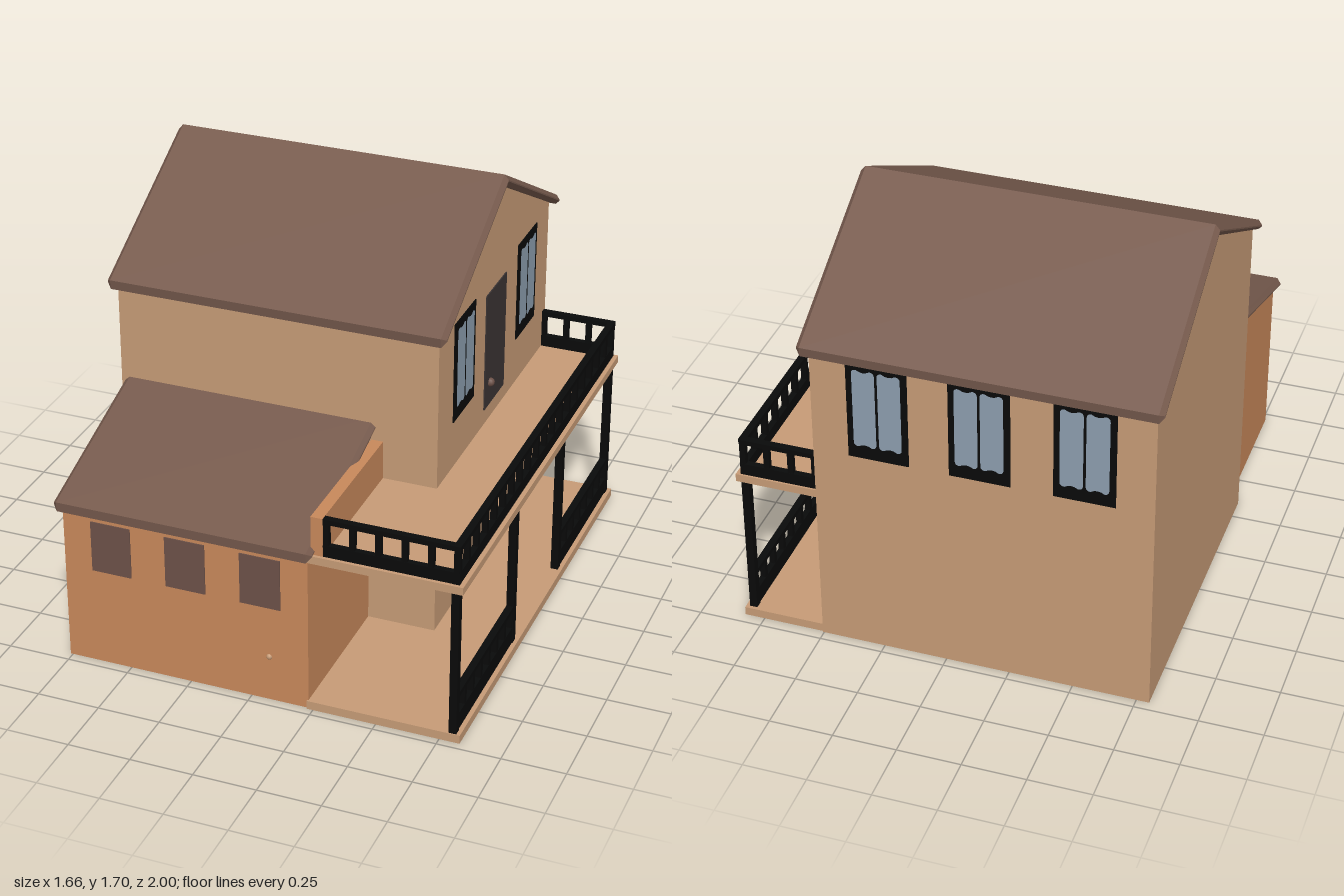
import * as THREE from 'three';

const mat = (name, color) => {
  const m = new THREE.MeshStandardMaterial({ color });
  m.name = name;
  return m;
};

export function createModel() {
  const wall = mat('beigeWall', 0xc69b76);
  const orange = mat('orangeWall', 0xc8885b);
  const roofBrown = mat('roofBrown', 0x765a4d);
  const black = mat('blackTrim', 0x090a0a);
  const glass = mat('windowGlass', 0x8c9dae);
  const doorDark = mat('doorDark', 0x3a3333);
  const panelBrown = mat('panelBrown', 0x6c5148);

  const model = new THREE.Group();
  model.name = 'house';

  const add = (name, geo, material, parent = model) => {
    const mesh = new THREE.Mesh(geo, material);
    mesh.name = name;
    parent.add(mesh);
    return mesh;
  };

  // Box given by its minimum and maximum corners
  const box = (name, [x0, y0, z0], [x1, y1, z1], material, parent) => {
    const geo = new THREE.BoxGeometry(x1 - x0, y1 - y0, z1 - z0);
    geo.translate((x0 + x1) / 2, (y0 + y1) / 2, (z0 + z1) / 2);
    return add(name, geo, material, parent);
  };

  // Side profile of [z, y] points, extruded from x0 to x1
  const sideExtrude = (name, points, x0, x1, material, bevel = 0) => {
    const shape = new THREE.Shape(points.map(([z, y]) => new THREE.Vector2(z, y)));
    const geo = new THREE.ExtrudeGeometry(shape, {
      depth: x1 - x0 - 2 * bevel,
      bevelEnabled: bevel > 0,
      bevelSize: bevel,
      bevelThickness: bevel,
      bevelSegments: 1,
    });
    geo.rotateY(-Math.PI / 2);
    geo.translate(x1 - bevel, 0, 0);
    return add(name, geo, material);
  };

  // Main two-storey block and its gable roof
  const ridgeZ = -0.305;
  sideExtrude('mainWalls', [
    [-0.96, 0], [0.345, 0], [0.345, 1.325], [ridgeZ, 1.665], [-0.96, 1.325],
  ], -0.8, 0.505, wall);
  const t = 0.003;
  const eave = 0.675;
  sideExtrude('mainRoof', [
    [ridgeZ - eave, 1.315 - t], [ridgeZ, 1.677 - t], [ridgeZ + eave, 1.315 - t],
    [ridgeZ + eave, 1.315 + t], [ridgeZ, 1.677 + t], [ridgeZ - eave, 1.315 + t],
  ], -0.83, 0.543, roofBrown, 0.018);

  // Front annex with a lean-to roof and a low parapet
  sideExtrude('annexWalls', [
    [0.3, 0], [0.96, 0], [0.96, 0.683], [0.34, 0.882], [0.3, 0.882],
  ], -0.76, 0.23, orange);
  sideExtrude('annexRoof', [
    [0.33, 0.888 - t], [0.98, 0.678 - t], [0.98, 0.678 + t], [0.33, 0.888 + t],
  ], -0.785, 0.255, roofBrown, 0.018);
  box('parapet', [0.24, 0.66, 0.34], [0.287, 0.83, 0.955], orange);

  // Porch floor and balcony deck
  box('porchFloor', [0.225, 0, -0.955], [0.83, 0.035, 0.968], wall);
  box('balconyDeck', [0.225, 0.64, -0.955], [0.83, 0.672, 0.968], wall);

  // Porch posts
  for (const z of [0.948, 0.3, -0.272, -0.925]) {
    box('porchPost', [0.785, 0.035, z - 0.016], [0.815, 0.64, z + 0.016], black);
  }

  // Railing of given length along local x, standing on y = 0
  const railing = (name, length, height, baseHeight, spans) => {
    const g = new THREE.Group();
    g.name = name;
    const h = length / 2;
    box('bottomRail', [-h, 0, -0.012], [h, baseHeight, 0.012], black, g);
    box('topRail', [-h, height - 0.02, -0.014], [h, height, 0.014], black, g);
    for (let i = 0; i <= spans; i++) {
      const x = -h + 0.011 + (i * (length - 0.022)) / spans;
      box('baluster', [x - 0.011, 0, -0.011], [x + 0.011, height - 0.01, 0.011], black, g);
    }
    model.add(g);
    return g;
  };
  const railX = 0.8;
  const sideRailing = (name, z0, z1, y, height, baseHeight, spans) => {
    const g = railing(name, z1 - z0, height, baseHeight, spans);
    g.rotation.y = Math.PI / 2;
    g.position.set(railX, y, (z0 + z1) / 2);
  };
  sideRailing('balconySideRailing', -0.945, 0.955, 0.67, 0.16, 0.05, 19);
  sideRailing('porchFrontRailing', 0.3, 0.955, 0.035, 0.165, 0.07, 7);
  sideRailing('porchBackRailing', -0.93, -0.272, 0.035, 0.165, 0.07, 7);
  railing('balconyFrontRailing', 0.525, 0.16, 0.05, 5).position.set(0.55, 0.67, 0.942);
  railing('balconyBackRailing', 0.31, 0.16, 0.05, 3).position.set(0.657, 0.67, -0.935);

  // Pane outline with softly scalloped ends
  const paneShape = (w, h) => {
    const s = new THREE.Shape();
    const x = w / 2, y = h / 2, r = 0.018;
    s.moveTo(-x, -y + r);
    s.quadraticCurveTo(-x, -y, -x + r, -y);
    s.quadraticCurveTo(0, -y + r, x - r, -y);
    s.quadraticCurveTo(x, -y, x, -y + r);
    s.lineTo(x, y - r);
    s.quadraticCurveTo(x, y, x - r, y);
    s.quadraticCurveTo(0, y - r, -x + r, y);
    s.quadraticCurveTo(-x, y, -x, y - r);
    return s;
  };

  // Window: thin black frame plate with two panes, facing local +z
  const windowAt = (x, y, z, turn) => {
    const g = new THREE.Group();
    g.name = 'window';
    box('windowFrame', [-0.117, -0.208, -0.003], [0.117, 0.208, 0.004], black, g);
    for (const side of [-1, 1]) {
      const pane = add('windowPane', new THREE.ShapeGeometry(paneShape(0.088, 0.335), 4), glass, g);
      pane.position.set(side * 0.049, 0.012, 0.007);
    }
    g.position.set(x, y, z);
    g.rotation.y = turn;
    model.add(g);
  };
  const sideX = 0.505;
  windowAt(sideX, 1.078, 0.062, Math.PI / 2);
  windowAt(sideX, 1.078, -0.683, Math.PI / 2);
  windowAt(sideX, 0.417, -0.683, Math.PI / 2);
  for (const x of [0.247, -0.142, -0.538]) windowAt(x, 1.078, -0.96, Math.PI);

  // Doors on the porch and the balcony, each with a knob
  for (const [z0, z1, y0, y1] of [[-0.147, 0.088, 0.055, 0.555], [-0.42, -0.185, 0.74, 1.237]]) {
    box('door', [0.5, y0, z0], [sideX + 0.005, y1, z1], doorDark);
    const knob = add('doorKnob', new THREE.SphereGeometry(0.018, 12, 8), panelBrown);
    knob.position.set(sideX + 0.008, y0 + 0.1, z1 - 0.055);
  }

  // Brown panels and a small knob on the annex front
  for (const x of [-0.565, -0.262, 0.04]) {
    box('annexWindow', [x - 0.081, 0.405, 0.957], [x + 0.081, 0.618, 0.964], panelBrown);
  }
  add('annexKnob', new THREE.SphereGeometry(0.012, 10, 8), wall).position.set(0.073, 0.19, 0.958);

  return model;
}
